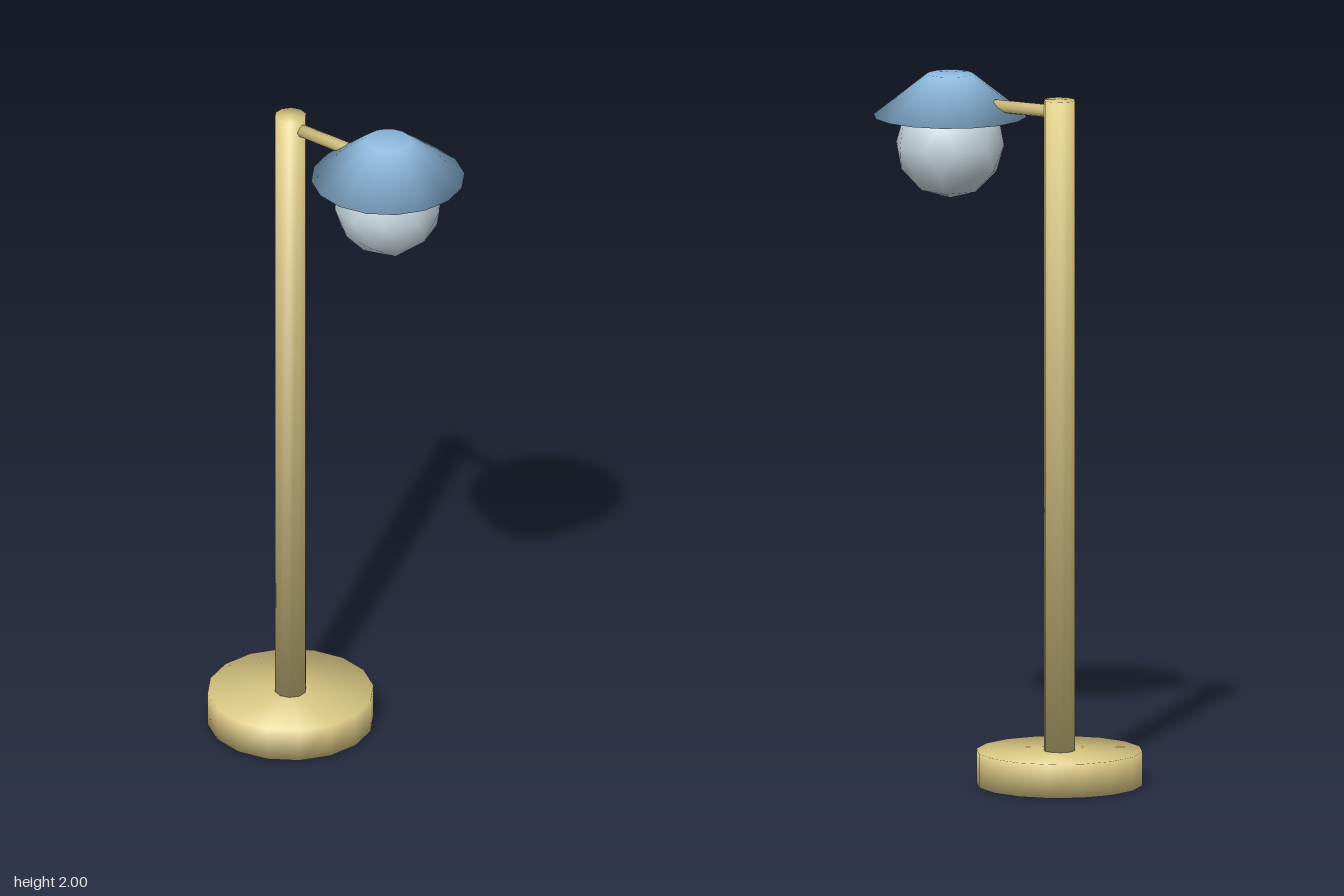
import * as THREE from 'three';

const paint = (name, color) => {
  const material = new THREE.MeshStandardMaterial({ color });
  material.name = name;
  return material;
};

// Share one averaged normal among coincident corners, so rims shade softly
function softenRims(geometry) {
  const { position, normal } = geometry.attributes;
  const sums = new Map();
  const keys = [];
  for (let i = 0; i < position.count; i++) {
    const key = [position.getX(i), position.getY(i), position.getZ(i)]
      .map((v) => Math.round(v * 1e4)).join();
    keys.push(key);
    if (!sums.has(key)) sums.set(key, new THREE.Vector3());
    sums.get(key).add(new THREE.Vector3().fromBufferAttribute(normal, i));
  }
  sums.forEach((n) => n.normalize());
  keys.forEach((key, i) => {
    const n = sums.get(key);
    normal.setXYZ(i, n.x, n.y, n.z);
  });
  return geometry;
}

const drum = (topRadius, bottomRadius, length, sides) =>
  softenRims(new THREE.CylinderGeometry(topRadius, bottomRadius, length, sides));

export function createModel() {
  const lamp = new THREE.Group();
  lamp.name = 'lamp';
  const brass = paint('brass', 0xdcc985);
  const blue = paint('shade blue', 0x8fbbe0);
  const glass = paint('pale glass', 0xc8d7e0);

  const add = (name, geometry, material, x, y) => {
    const mesh = new THREE.Mesh(geometry, material);
    mesh.name = name;
    mesh.position.set(x, y, 0);
    lamp.add(mesh);
  };

  const poleX = -0.168;
  const headX = 0.184;

  // Foot and upright
  add('base', drum(0.235, 0.235, 0.097, 16), brass, poleX, 0.0485);
  add('pole', drum(0.045, 0.045, 1.9, 10), brass, poleX, 1.005);

  // Side arm running from the pole into the shade
  add('arm', drum(0.0185, 0.0185, 0.27, 8).rotateZ(-Math.PI / 2), brass, poleX + 0.135, 1.92);

  // Conical shade over a faceted globe with a corner straight down
  add('shade', drum(0.065, 0.217, 0.12, 16), blue, headX, 1.94);
  const globe = new THREE.IcosahedronGeometry(0.155, 1);
  globe.rotateZ(-Math.atan(2 / (1 + Math.sqrt(5))));
  add('globe', globe, glass, headX, 1.8);

  return lamp;
}
